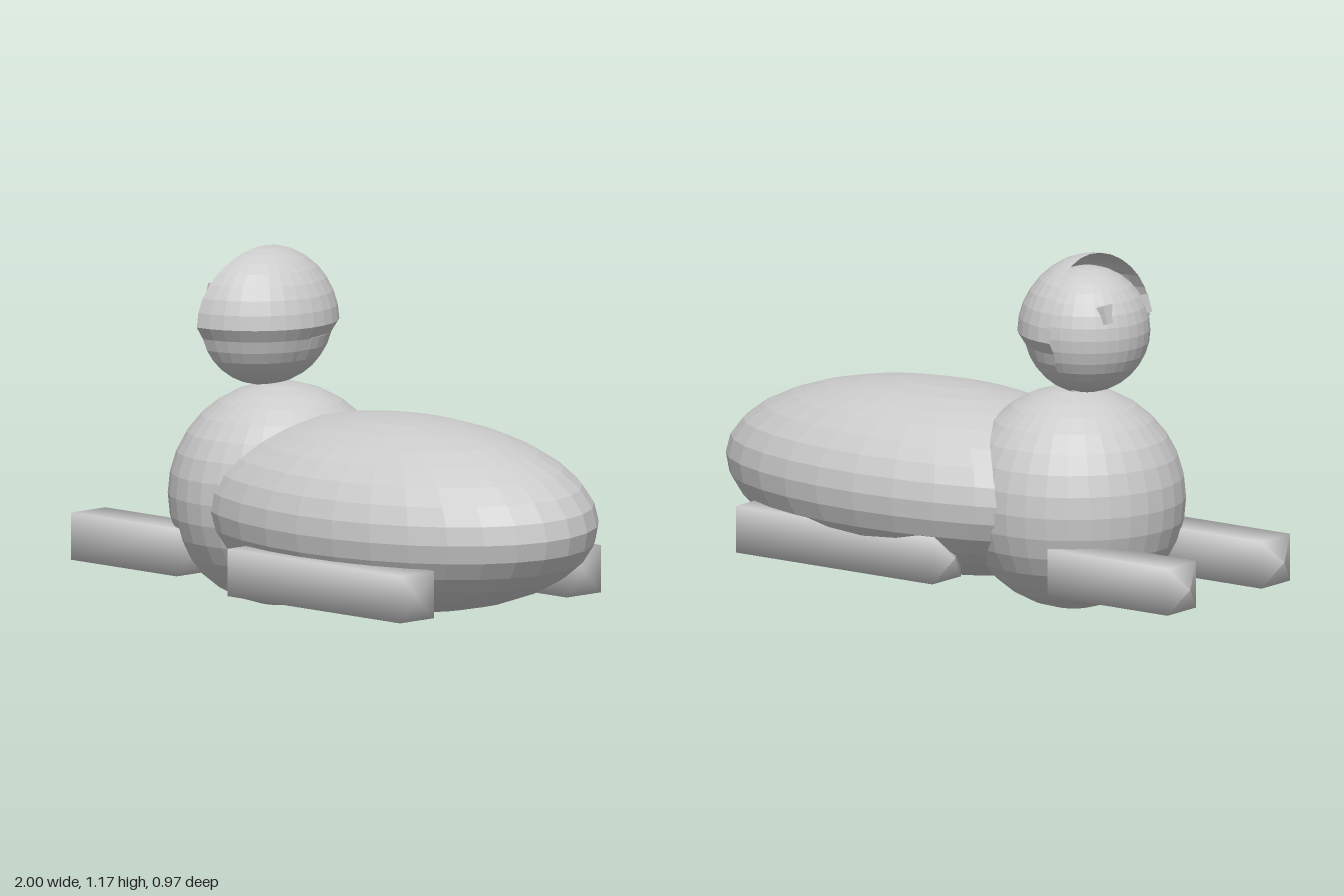
import * as THREE from 'three';

const MID_Z = -0.015;

function material(options = {}) {
  return new THREE.MeshStandardMaterial({ color: 0xcccccc, ...options });
}

// Faceted ellipsoid
function ball(name, x, y, rx, ry, rz) {
  const mesh = new THREE.Mesh(new THREE.SphereGeometry(1, 32, 16), material({ flatShading: true }));
  mesh.name = name;
  mesh.scale.set(rx, ry, rz);
  mesh.position.set(x, y, MID_Z);
  return mesh;
}

// Square bar along x with softly shaded corners and a pointed tip at the -x end
function limb(name, tipX, endX, z) {
  const half = 0.0775, length = endX - tipX, r = half * Math.SQRT2;
  const profile = [[0, 0], [r, 0], [r, length - 0.035], [0, length]].map(([a, b]) => new THREE.Vector2(a, b));
  const geometry = new THREE.LatheGeometry(profile, 4, Math.PI / 4);
  geometry.rotateZ(Math.PI / 2);
  const mesh = new THREE.Mesh(geometry, material({ side: THREE.DoubleSide }));
  mesh.name = name;
  mesh.position.set(endX, 0.1925, z);
  return mesh;
}

// Half shell around the back of the head, fuller above a ridge at mid height
function hairGeometry() {
  const geometry = new THREE.SphereGeometry(1, 16, 16, Math.PI / 2, Math.PI);
  const p = geometry.attributes.position;
  for (let i = 0; i < p.count; i++) {
    const x = p.getX(i), y = p.getY(i), z = p.getZ(i);
    const upper = y > -0.01;
    const forward = 0.04 * (1 - Math.abs(x)) * (1 - y * y);
    p.setXYZ(i,
      x * (upper ? 0.225 : 0.205) - forward,
      y * (upper ? 0.245 : 0.21),
      z * (upper ? 0.272 : 0.25));
  }
  geometry.computeVertexNormals();
  return geometry;
}

export function createModel() {
  const model = new THREE.Group();
  model.name = 'lyingFigure';

  // Torso, leaning very slightly to one side
  const body = ball('body', 0.21, 0.37, 0.79, 0.312, 0.47);
  body.rotation.x = 0.05;
  model.add(body, ball('chest', -0.335, 0.37, 0.365, 0.365, 0.365));

  // Head and hair
  model.add(ball('head', -0.39, 0.933, 0.205, 0.207, 0.205));
  const hair = new THREE.Mesh(hairGeometry(), material({ flatShading: true, side: THREE.DoubleSide }));
  hair.name = 'hair';
  hair.position.set(-0.39, 0.932, 0);
  model.add(hair);

  // Eyes, nearly flush with the face
  for (const side of [-1, 1]) {
    const eye = new THREE.Mesh(new THREE.BoxGeometry(0.03, 0.06, 0.05), material());
    eye.name = side > 0 ? 'leftEye' : 'rightEye';
    eye.position.set(-0.54, 1.015, MID_Z + side * 0.095);
    eye.rotation.z = -0.3;
    model.add(eye);
  }

  // Limbs stretched out towards -x
  model.add(
    limb('leftFrontLeg', -1, -0.48, 0.237),
    limb('rightFrontLeg', -1, -0.48, -0.27),
    limb('leftBackLeg', -0.11, 0.72, 0.407),
    limb('rightBackLeg', -0.11, 0.72, -0.353)
  );
  return model;
}
